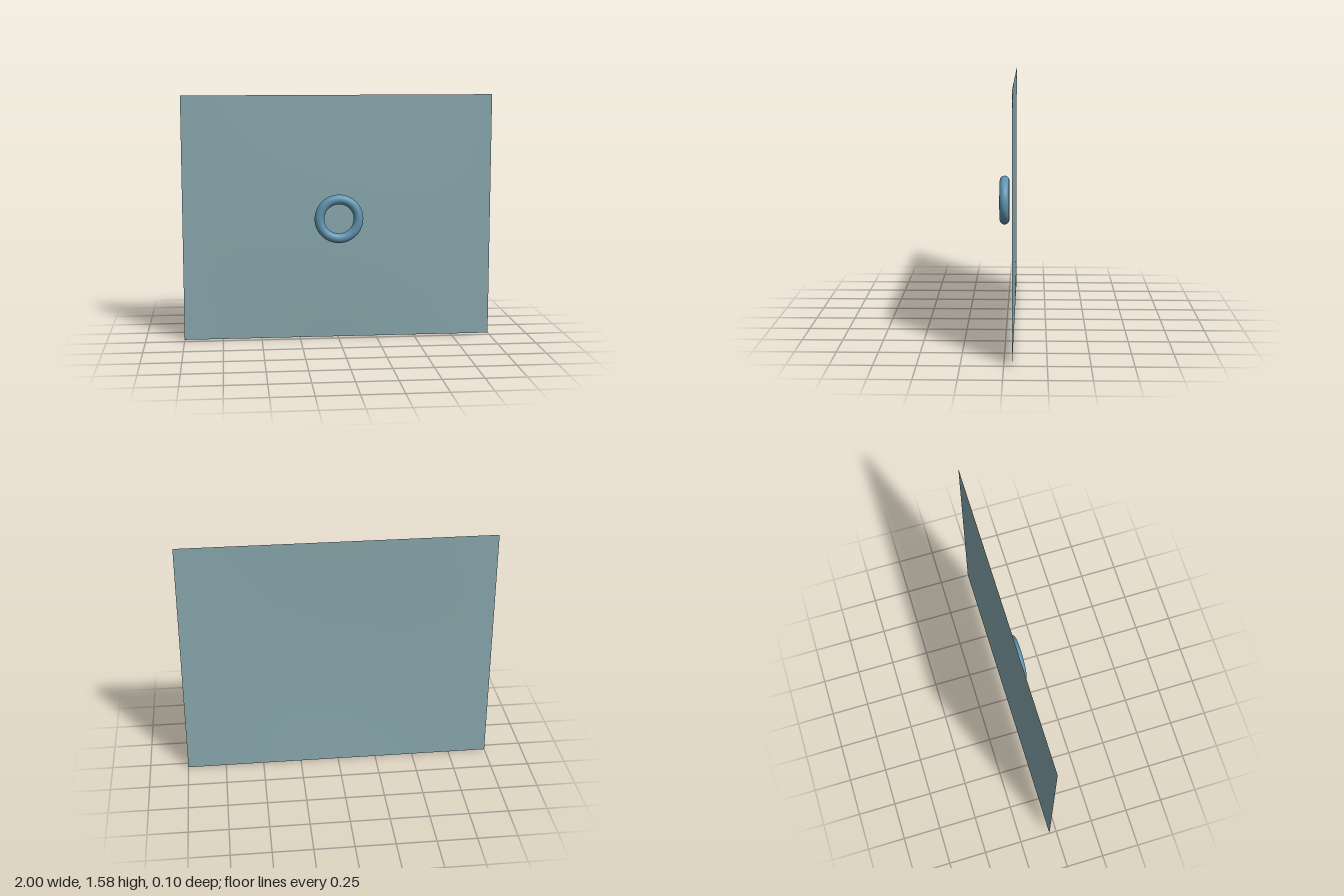
import * as THREE from 'three';

const WIDTH = 2, HEIGHT = 1.58, MID_Y = HEIGHT / 2;
const EDGE_Z = -0.048, BULGE = 0.014;

// Thin sheet, flat along its border and bowed gently forward in the middle
function createSheet() {
  const geometry = new THREE.PlaneGeometry(WIDTH, HEIGHT, 40, 32);
  const p = geometry.attributes.position;
  for (let i = 0; i < p.count; i++) {
    const u = Math.cos((p.getX(i) / WIDTH) * Math.PI);
    const v = Math.cos((p.getY(i) / HEIGHT) * Math.PI);
    p.setZ(i, BULGE * u * v);
  }
  geometry.computeVertexNormals();
  const sheet = new THREE.Mesh(
    geometry,
    new THREE.MeshStandardMaterial({ color: 0x88a8ae, side: THREE.DoubleSide })
  );
  sheet.name = 'sheet';
  sheet.position.set(0, MID_Y, EDGE_Z);
  return sheet;
}

// Round ring floating just in front of the sheet's centre
function createRing() {
  const ring = new THREE.Mesh(
    new THREE.TorusGeometry(0.126, 0.031, 32, 96),
    new THREE.MeshStandardMaterial({ color: 0x5f93b0 })
  );
  ring.name = 'ring';
  ring.position.set(0, MID_Y, 0.017);
  return ring;
}

export function createModel() {
  const model = new THREE.Group();
  model.name = 'ringAndSheet';
  model.add(createSheet(), createRing());
  return model;
}
